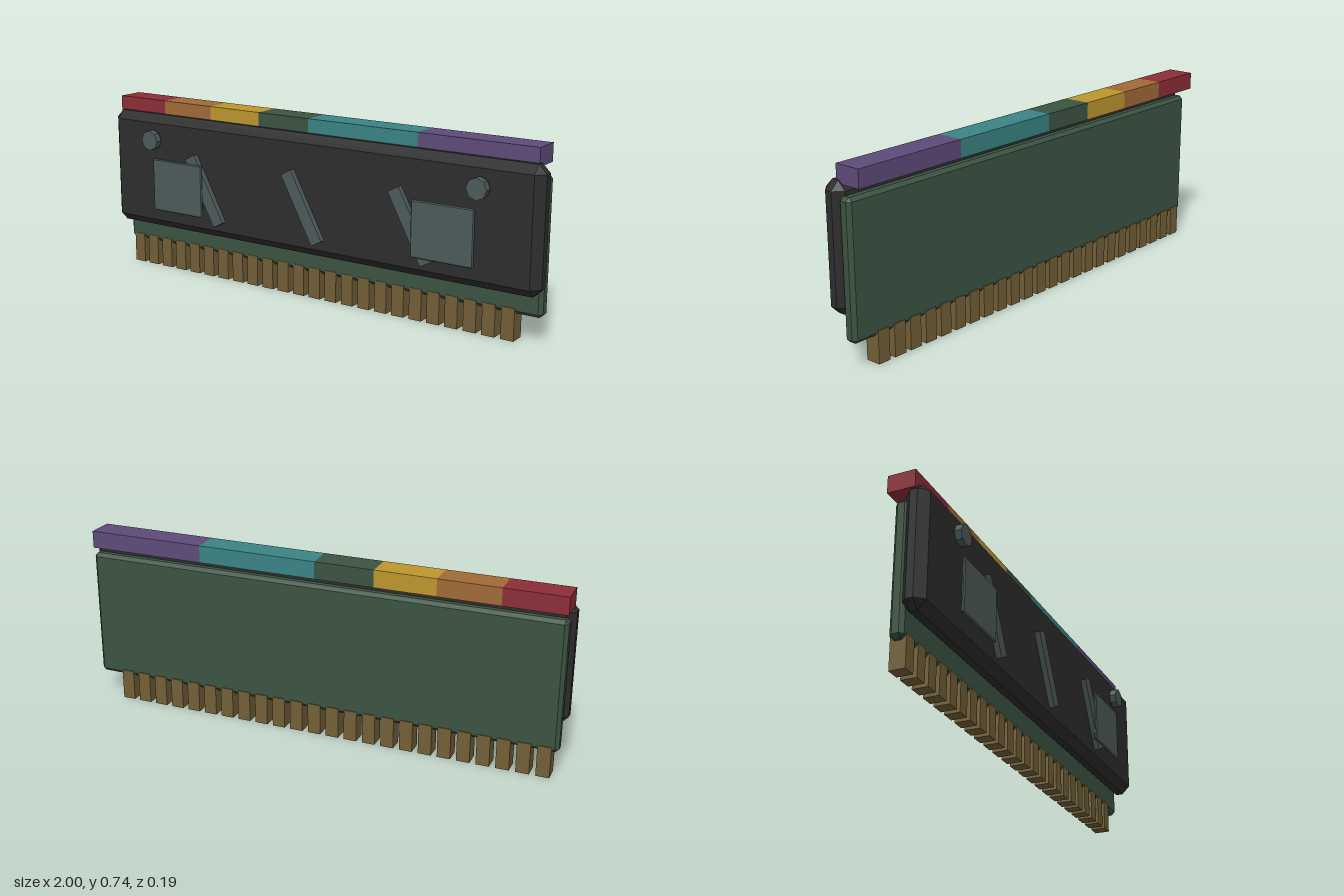
import * as THREE from 'three';
import { ConvexGeometry } from 'three/addons/geometries/ConvexGeometry.js';

const material = (name, color) => {
  const m = new THREE.MeshStandardMaterial({ color });
  m.name = name;
  return m;
};

// Box with all edges cut at 45 degrees, corners as small triangles
function chamferedBox(w, h, d, c) {
  const points = [];
  for (const sx of [-1, 1]) for (const sy of [-1, 1]) for (const sz of [-1, 1]) {
    const x = w / 2, y = h / 2, z = d / 2;
    points.push(
      new THREE.Vector3(sx * x, sy * (y - c), sz * (z - c)),
      new THREE.Vector3(sx * (x - c), sy * y, sz * (z - c)),
      new THREE.Vector3(sx * (x - c), sy * (y - c), sz * z));
  }
  return new ConvexGeometry(points);
}

export function createModel() {
  const model = new THREE.Group();
  model.name = 'memoryModule';

  const black = material('shellBlack', 0x2d2d2d);
  const green = material('boardGreen', 0x3c5442);
  const grey = material('slateGrey', 0x4d5a5a);
  const gold = material('contactGold', 0x725f37);
  const red = material('red', 0x8c2d37);
  const orange = material('orange', 0xa06a38);
  const yellow = material('yellow', 0xbc962e);
  const teal = material('teal', 0x3b8384);
  const purple = material('purple', 0x5e4b7a);

  const add = (name, geometry, mat, x, y, z) => {
    const mesh = new THREE.Mesh(geometry, mat);
    mesh.name = name;
    mesh.position.set(x, y, z);
    model.add(mesh);
    return mesh;
  };

  // Heat spreader shell and circuit board behind it
  add('shell', chamferedBox(2, 0.485, 0.095, 0.033), black, 0, 0.4395, 0.0145);
  add('circuitBoard', chamferedBox(1.97, 0.528, 0.055, 0.014), green, 0, 0.369, -0.0405);

  // Row of edge contacts
  const pin = new THREE.BoxGeometry(0.053, 0.127, 0.062);
  for (let i = 0; i < 24; i++) {
    add('contactPin', pin, gold, -0.933 + i * 0.0777, 0.0635, -0.041);
  }

  // Light bar along the top, in coloured segments
  const edges = [-0.989, -0.745, -0.5, -0.254, -0.013, 0.476, 0.963];
  [red, orange, yellow, green, teal, purple].forEach((mat, i) => {
    const w = edges[i + 1] - edges[i];
    add('lightBarSegment', new THREE.BoxGeometry(w, 0.07, 0.11), mat,
      edges[i] + w / 2, 0.703, -0.042);
  });

  // Slanted ribs on the front
  const rib = new THREE.BoxGeometry(0.053, 0.304, 0.044);
  for (const x of [-0.487, 0, 0.487]) {
    add('slantedRib', rib, grey, x, 0.396, 0.062).rotation.z = 0.495;
  }

  // Plates and octagonal studs at both ends
  const plate = chamferedBox(0.26, 0.221, 0.013, 0.004);
  const stud = new THREE.CylinderGeometry(0.042, 0.042, 0.028, 8).toNonIndexed();
  stud.rotateX(Math.PI / 2);
  stud.computeVertexNormals();
  for (const side of [-1, 1]) {
    add('frontPlate', plate, grey, side * 0.625, 0.3915, 0.0835);
    add('stud', stud, grey, side * 0.763, 0.579, 0.084);
  }

  return model;
}
